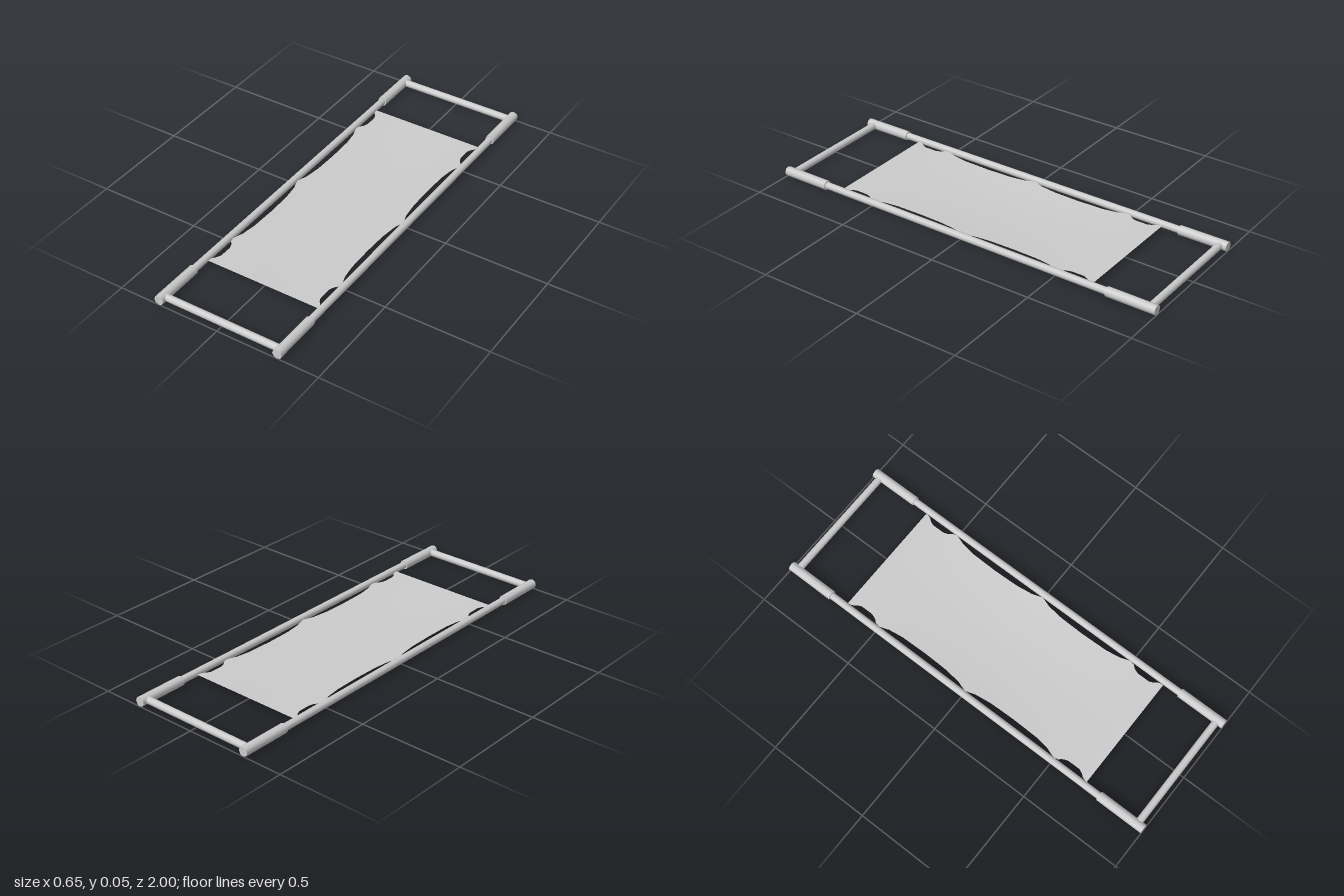
import * as THREE from 'three';

const AXIS_Y = 0.023; // height of the frame tubes
const RAIL_X = 0.3;

const metal = new THREE.MeshStandardMaterial({ color: 0xcccccc });
const cloth = new THREE.MeshStandardMaterial({ color: 0xcccccc, side: THREE.DoubleSide });

// Half width of the canvas by distance from its middle: lugs at 0, 0.5 and the hem
const EDGE = [
  [0, 0.284], [0.02, 0.278], [0.05, 0.268], [0.13, 0.258], [0.25, 0.255], [0.38, 0.258],
  [0.45, 0.268], [0.48, 0.279], [0.5, 0.284], [0.52, 0.279], [0.535, 0.265], [0.56, 0.257],
  [0.62, 0.257], [0.64, 0.266], [0.655, 0.279], [0.68, 0.284],
];

function halfWidth(z) {
  const d = Math.min(Math.abs(z), 0.68);
  const i = Math.max(1, EDGE.findIndex((p) => p[0] >= d - 1e-6));
  const [z0, w0] = EDGE[i - 1];
  const [z1, w1] = EDGE[i];
  return THREE.MathUtils.lerp(w0, w1, (d - z0) / (z1 - z0));
}

function tube(name, radius, length, sides, x, z, alongX = false) {
  const geometry = new THREE.CylinderGeometry(radius, radius, length, sides);
  if (alongX) geometry.rotateZ(Math.PI / 2);
  else geometry.rotateX(Math.PI / 2);
  const mesh = new THREE.Mesh(geometry, metal);
  mesh.name = name;
  mesh.position.set(x, AXIS_Y, z);
  return mesh;
}

// Scalloped sheet, sagging gently between the rails
function canvasSheet() {
  const geometry = new THREE.PlaneGeometry(2, 1.36, 12, 136).rotateX(-Math.PI / 2);
  const p = geometry.attributes.position;
  for (let i = 0; i < p.count; i++) {
    const z = p.getZ(i);
    const x = p.getX(i) * halfWidth(z);
    const across = 1 - (x / 0.284) ** 2;
    const along = 1 - (z / 0.68) ** 2;
    p.setXYZ(i, x, AXIS_Y - 0.012 * across * along, z);
  }
  geometry.computeVertexNormals();
  const mesh = new THREE.Mesh(geometry, cloth);
  mesh.name = 'canvas';
  return mesh;
}

export function createModel() {
  const group = new THREE.Group();
  group.name = 'stretcher';

  // Side rails with thicker hand grips at both ends
  for (const [side, sx] of [['left', 1], ['right', -1]]) {
    group.add(tube(`${side}Rail`, 0.017, 1.96, 8, sx * RAIL_X, 0));
    for (const [end, sz] of [['Front', 1], ['Back', -1]]) {
      group.add(tube(`${side}${end}Grip`, 0.023, 0.24, 8, sx * RAIL_X, sz * 0.88));
    }
  }

  // Spreader bars joining the grips
  group.add(tube('frontCrossbar', 0.017, 0.58, 12, 0, 0.965, true));
  group.add(tube('backCrossbar', 0.017, 0.58, 12, 0, -0.965, true));

  group.add(canvasSheet());
  return group;
}
